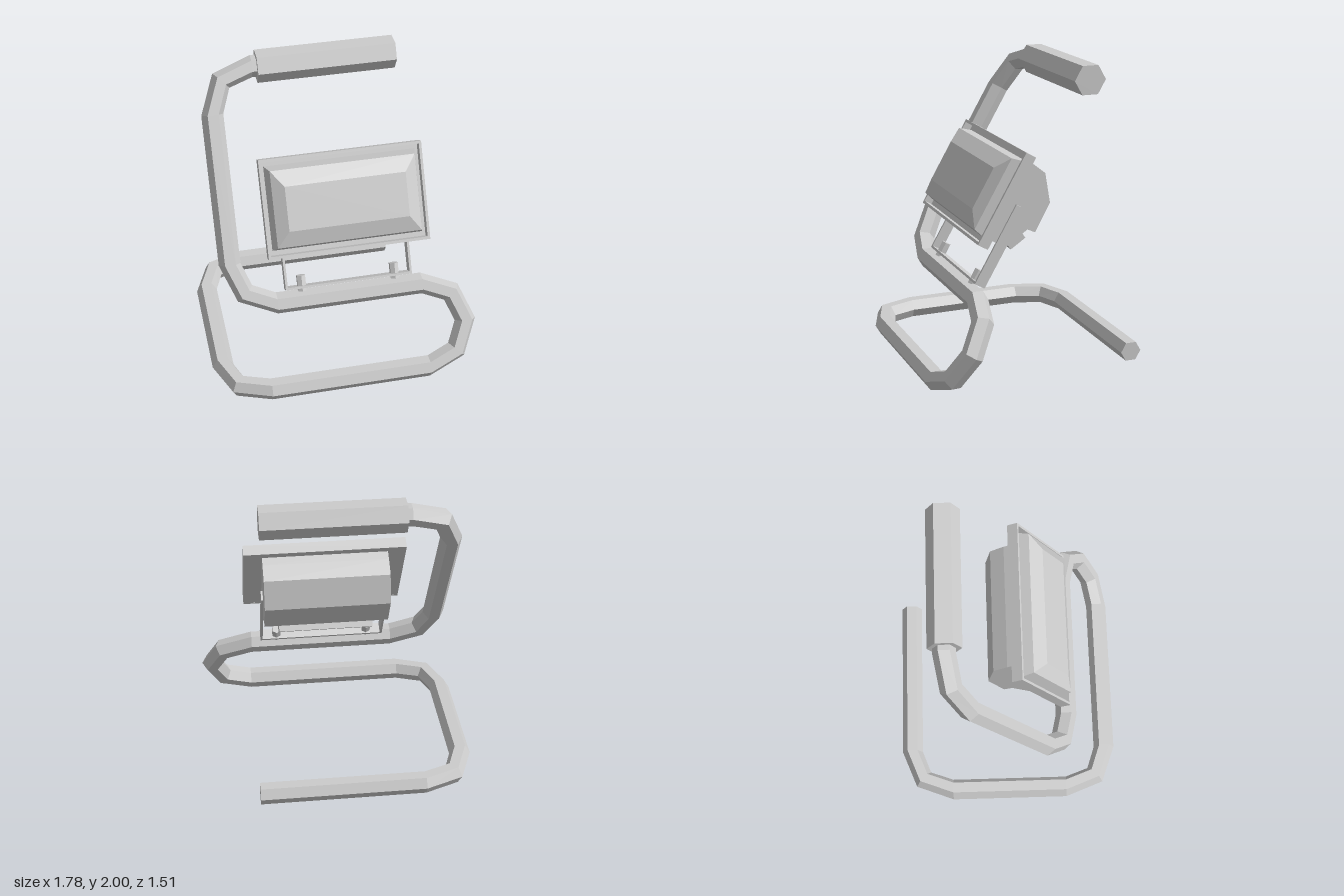
import * as THREE from 'three';
import { ConvexGeometry } from 'three/addons/geometries/ConvexGeometry.js';

const material = new THREE.MeshStandardMaterial({ color: 0xcccccc, flatShading: true });

function add(parent, name, geometry, x = 0, y = 0, z = 0) {
  const mesh = new THREE.Mesh(geometry, material);
  mesh.name = name;
  mesh.position.set(x, y, z);
  parent.add(mesh);
  return mesh;
}

// Hexagonal tube starting along -x. Rings stand square to the long straights
// and on the bisector inside the bends.
function hexTube(points, radius) {
  const segments = points.slice(1).map((p, i) => p.clone().sub(points[i]));
  const tangents = points.map((p, i) => {
    const around = [segments[i - 1], segments[i]].filter(Boolean);
    const straight = around.find(s => s.length() > 0.4);
    if (straight) return straight.clone().normalize();
    return around.reduce((sum, s) => sum.add(s.clone().normalize()), new THREE.Vector3()).normalize();
  });
  let offsets = [];
  for (let k = 0; k < 6; k++) {
    const a = k * Math.PI / 3;
    offsets.push(new THREE.Vector3(0, Math.sin(a) * radius, Math.cos(a) * radius));
  }
  const verts = [], index = [];
  points.forEach((p, i) => {
    if (i > 0) {
      const turn = new THREE.Quaternion().setFromUnitVectors(tangents[i - 1], tangents[i]);
      offsets = offsets.map(o => o.clone().applyQuaternion(turn));
    }
    offsets.forEach(o => verts.push(p.x + o.x, p.y + o.y, p.z + o.z));
  });
  const last = (points.length - 1) * 6;
  for (let i = 0; i < last; i += 6) {
    for (let k = 0; k < 6; k++) {
      const a = i + k, b = i + (k + 1) % 6;
      index.push(a, b, a + 6, b, b + 6, a + 6);
    }
  }
  for (let k = 1; k < 5; k++) {
    index.push(0, k + 1, k, last, last + k, last + k + 1);
  }
  const geometry = new THREE.BufferGeometry();
  geometry.setAttribute('position', new THREE.Float32BufferAttribute(verts, 3));
  geometry.setIndex(index);
  const flat = geometry.toNonIndexed();
  flat.computeVertexNormals();
  return flat;
}

function rectPath(path, hw, hh) {
  path.moveTo(-hw, -hh);
  path.lineTo(hw, -hh);
  path.lineTo(hw, hh);
  path.lineTo(-hw, hh);
  path.closePath();
  return path;
}

export function createModel() {
  const model = new THREE.Group();
  model.name = 'workLamp';

  // Stand: a loop on the floor, then a leaning loop up into the grip
  const floorY = 0.0625;
  const floor = [[0.56, -0.687], [-0.54, -0.687], [-0.743, -0.609], [-0.822, -0.4],
    [-0.822, 0.4], [-0.743, 0.609], [-0.54, 0.682], [0.54, 0.682]]
    .map(([x, z]) => new THREE.Vector3(x, floorY, z));
  const leaning = [[0.74, 0.138], [0.82, 0.31], [0.74, 0.482], [0.54, 0.557], [-0.44, 0.557],
    [-0.643, 0.637], [-0.722, 0.815], [-0.722, 1.665], [-0.643, 1.848], [-0.44, 1.91], [0, 1.91]]
    .map(([x, y]) => new THREE.Vector3(x, y, 0.682 - (y - floorY) * 0.5774));
  add(model, 'tubeStand', hexTube([...floor, ...leaning], 0.0715));

  // Grip
  const grip = [0.504, -0.408].map(x => new THREE.Vector3(x, 1.907, -0.382));
  add(model, 'handGrip', hexTube(grip, 0.1075));

  // Lamp head, tilted with the stand
  const lamp = new THREE.Group();
  lamp.name = 'lampHead';
  lamp.position.set(0.05, 1.2, 0.215);
  lamp.rotation.x = -Math.PI / 6;
  model.add(lamp);

  // Rim and its floor
  const rim = rectPath(new THREE.Shape(), 0.536, 0.324);
  rim.holes.push(rectPath(new THREE.Path(), 0.519, 0.306));
  add(lamp, 'rim', new THREE.ExtrudeGeometry(rim, { depth: 0.075, bevelEnabled: false }), 0, 0, -0.0375);
  add(lamp, 'rimBack', new THREE.BoxGeometry(1.05, 0.63, 0.018), 0, 0, -0.028);

  // Faceted lens
  const lensPoints = [];
  for (const [hw, hh, z] of [[0.5, 0.275, -0.02], [0.475, 0.25, 0.08], [0.395, 0.145, 0.122]]) {
    for (const sx of [-1, 1]) {
      for (const sy of [-1, 1]) lensPoints.push(new THREE.Vector3(sx * hw, sy * hh, z));
    }
  }
  add(lamp, 'lens', new ConvexGeometry(lensPoints));

  // Rear housing: side profile as (distance behind rim, height)
  const profile = new THREE.Shape([[0.03, 0.28], [0.094, 0.28], [0.206, 0.263], [0.335, 0.108],
    [0.34, -0.104], [0.281, -0.11], [0.206, -0.266], [0.03, -0.28]]
    .map(([x, y]) => new THREE.Vector2(x, y)));
  const housing = new THREE.ExtrudeGeometry(profile, { depth: 0.83, bevelEnabled: false });
  housing.rotateY(Math.PI / 2);
  add(lamp, 'housing', housing, -0.415, 0, 0);

  // Terminal box under the housing
  const box = add(lamp, 'terminalBox', new THREE.BoxGeometry(0.63, 0.122, 0.095), 0, -0.204, -0.279);
  box.rotation.x = -0.46;

  // U-shaped bracket and its bolts
  const bracketZ = -0.162;
  add(lamp, 'bracketBase', new THREE.BoxGeometry(0.855, 0.015, 0.075), 0, -0.56, bracketZ);
  for (const s of [-1, 1]) {
    add(lamp, 'bracketArm', new THREE.BoxGeometry(0.015, 0.568, 0.075), s * 0.42, -0.283, bracketZ);
    add(lamp, 'bolt', new THREE.CylinderGeometry(0.032, 0.032, 0.105, 6), s * 0.315, -0.536, bracketZ);
  }

  return model;
}
